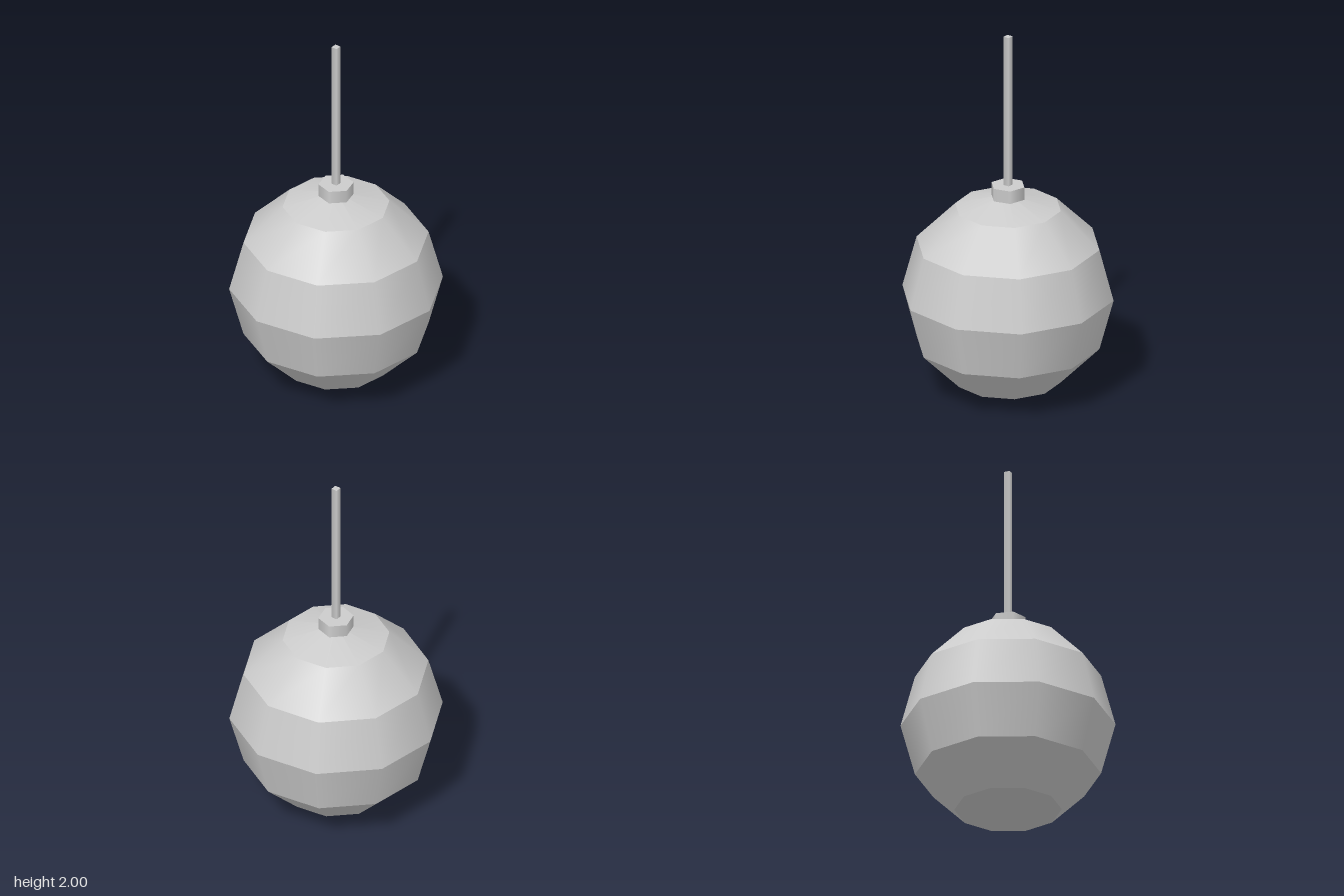
import * as THREE from 'three';

export function createModel() {
  const group = new THREE.Group();
  group.name = 'pendantLamp';
  const grey = new THREE.MeshStandardMaterial({ color: 0xcccccc });
  grey.name = 'light grey';

  // Tapered ring or solid between two heights, with a corner on the x axis
  function addPart(name, parent, sides, y0, y1, r0, r1, open) {
    const geometry = new THREE.CylinderGeometry(r1, r0, y1 - y0, sides, 1, open, Math.PI / 2);
    const mesh = new THREE.Mesh(geometry, grey);
    mesh.name = name;
    mesh.position.y = (y0 + y1) / 2;
    parent.add(mesh);
  }

  // Globe: smooth around, with crisp edges between its six bands
  const globe = new THREE.Group();
  globe.name = 'globe';
  group.add(globe);
  const R = 0.557, bands = 6;
  const height = (i) => R - R * Math.cos((i * Math.PI) / bands);
  const radius = (i) => (i % bands === 0 ? 0 : R * Math.sin((i * Math.PI) / bands));
  for (let i = 0; i < bands; i++) {
    addPart(`globeBand${i + 1}`, globe, 10, height(i), height(i + 1), radius(i), radius(i + 1), true);
  }

  // Hexagonal collar and four-sided hanging rod
  addPart('collar', group, 6, 1.095, 1.165, 0.092, 0.092, false);
  addPart('rod', group, 4, 1.16, 2, 0.023, 0.023, false);

  return group;
}
